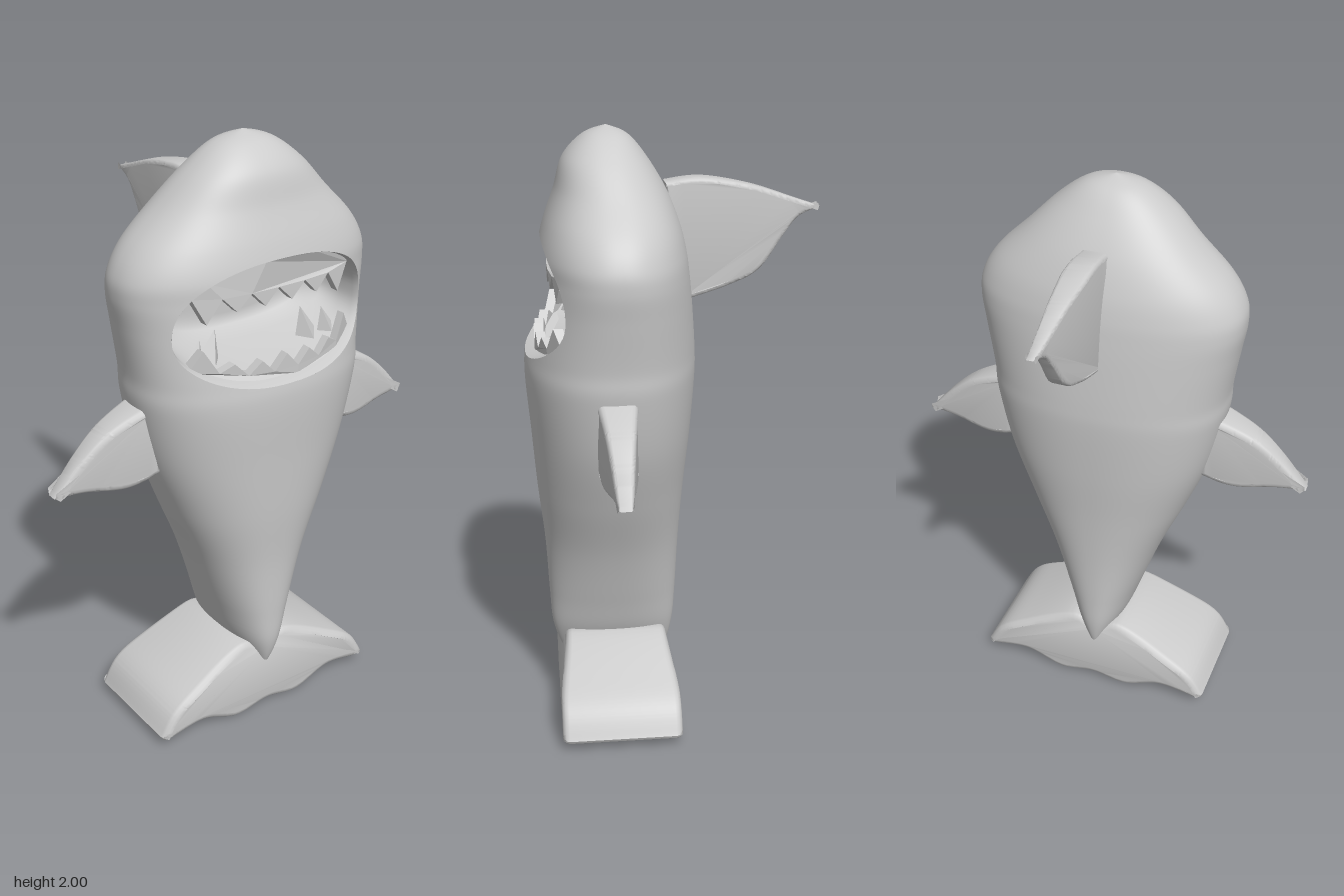
import * as THREE from 'three';
import { toCreasedNormals } from 'three/addons/utils/BufferGeometryUtils.js';

const material = new THREE.MeshStandardMaterial({ color: 0xcccccc, side: THREE.DoubleSide });

// Body sections from tail to snout: y, half width, front z, back z
const SECTIONS = [
  [0.15, 0.0, 0.34, 0.05], [0.17, 0.03, 0.38, 0.02], [0.27, 0.085, 0.415, -0.005], [0.4, 0.13, 0.425, -0.015],
  [0.6, 0.2, 0.435, -0.025], [0.8, 0.285, 0.455, -0.04], [1.0, 0.36, 0.47, -0.06],
  [1.2, 0.405, 0.485, -0.075], [1.3, 0.412, 0.478, -0.075], [1.45, 0.435, 0.45, -0.065],
  [1.55, 0.45, 0.435, -0.055], [1.62, 0.442, 0.43, -0.045], [1.7, 0.395, 0.41, -0.025],
  [1.8, 0.295, 0.375, 0.015], [1.9, 0.195, 0.345, 0.075], [1.97, 0.1, 0.28, 0.135], [2.0, 0.0, 0.205, 0.205],
];
const POWER = 2.25;
const spow = (v, p) => Math.sign(v) * Math.abs(v) ** p;

// Smooth section at t in 0..1
function section(t) {
  const last = SECTIONS.length - 1;
  const i = Math.min(Math.floor(t * last), last - 1), f = t * last - i;
  const at = (k) => SECTIONS[Math.max(0, Math.min(last, k))];
  return at(i).map((b, k) => {
    const a = at(i - 1)[k], c = at(i + 1)[k], d = at(i + 2)[k];
    return b + 0.5 * f * (c - a + f * (2 * a - 5 * b + 4 * c - d + f * (3 * (b - c) + d - a)));
  });
}

// z of the front skin at x, y
function frontZ(x, y) {
  let lo = 0, hi = 1;
  for (let k = 0; k < 30; k++) {
    const mid = (lo + hi) / 2;
    if (section(mid)[0] < y) lo = mid; else hi = mid;
  }
  const [, hx, zf, zb] = section(lo);
  const r = Math.min(1, Math.abs(x) / Math.max(hx, 1e-6));
  return (zf + zb) / 2 + ((zf - zb) / 2) * (1 - r ** POWER) ** (1 / POWER);
}

// Mouth outline, a rounded oval with a higher upper half
const MOUTH = { y: 1.45, w: 0.358, up: 0.207, down: 0.175, n: 2.3 };
const mouthRadius = (x, y) => {
  const dy = y - MOUTH.y, h = dy > 0 ? MOUTH.up : MOUTH.down;
  return (Math.abs(x / MOUTH.w) ** MOUTH.n + Math.abs(dy / h) ** MOUTH.n) ** (1 / MOUTH.n);
};

function indexed(positions, index) {
  const geo = new THREE.BufferGeometry();
  geo.setAttribute('position', new THREE.Float32BufferAttribute(positions, 3));
  geo.setIndex(index);
  geo.computeVertexNormals();
  return geo;
}

// Lofted skin with the mouth cut out
function bodyGeometry() {
  const around = 160, rows = 144, pos = [], index = [], inside = [];
  for (let j = 0; j <= rows; j++) {
    const [y, hx, zf, zb] = section(j / rows);
    for (let i = 0; i < around; i++) {
      const u = (i / around) * Math.PI * 2;
      const x = hx * spow(Math.sin(u), 2 / POWER);
      const z = (zf + zb) / 2 + ((zf - zb) / 2) * spow(Math.cos(u), 2 / POWER);
      pos.push(x, y, z);
      inside.push(Math.cos(u) > 0 && mouthRadius(x, y) < 1);
    }
  }
  const addTriangle = (...t) => { if (!t.every((v) => inside[v])) index.push(...t); };
  for (let j = 0; j < rows; j++) {
    for (let i = 0; i < around; i++) {
      const a = j * around + i, b = j * around + ((i + 1) % around);
      addTriangle(a, b, b + around);
      addTriangle(a, b + around, a + around);
    }
  }
  // Pull the rim of the hole onto the mouth outline
  for (const v of new Set(index)) {
    if (!inside[v]) continue;
    const s = 1 / mouthRadius(pos[3 * v], pos[3 * v + 1]);
    const x = pos[3 * v] * s, y = MOUTH.y + (pos[3 * v + 1] - MOUTH.y) * s;
    pos.splice(3 * v, 3, x, y, frontZ(x, y));
  }
  return indexed(pos, index);
}

// Mouth lining: rings from the lip in to the throat [scale, depth share]
function mouthGeometry() {
  const rings = [[1, 0], [0.975, 0.1], [0.96, 0.4], [0.92, 0.8], [0.8, 1], [0.4, 1], [0, 1]];
  const n = 96, pos = [], index = [];
  rings.forEach(([s, depth], j) => {
    for (let i = 0; i < n; i++) {
      const a = (i / n) * Math.PI * 2;
      const x = MOUTH.w * spow(Math.cos(a), 2 / MOUTH.n);
      const dy = (Math.sin(a) > 0 ? MOUTH.up : MOUTH.down) * spow(Math.sin(a), 2 / MOUTH.n);
      const lift = dy < 0 ? 1 - 0.4 * depth : 1; // floor rises toward the throat
      pos.push(x * s, MOUTH.y + dy * s * lift, THREE.MathUtils.lerp(frontZ(x, MOUTH.y + dy), 0.17, depth));
      if (j) {
        const k = (i + 1) % n, p = (j - 1) * n, q = j * n;
        index.push(p + i, p + k, q + k, p + i, q + k, q + i);
      }
    }
  });
  return indexed(pos, index);
}

// Rounded slab from two curved edges, its thickness scaled by a rule
function slab(edgeA, edgeB, half, bevel, scaleAt) {
  const v = (p) => new THREE.Vector2(...p);
  const shape = new THREE.Shape().moveTo(...edgeA[0]);
  shape.splineThru(edgeA.slice(1).map(v));
  shape.splineThru(edgeB.map(v));
  const geo = new THREE.ExtrudeGeometry(shape, {
    depth: 2 * (half - bevel), bevelThickness: bevel, bevelSize: bevel, bevelOffset: -bevel,
    bevelSegments: 3, curveSegments: 16,
  });
  geo.translate(0, 0, bevel - half);
  const p = geo.attributes.position;
  for (let i = 0; i < p.count; i++) p.setZ(i, p.getZ(i) * scaleAt(p.getX(i), p.getY(i)));
  return toCreasedNormals(geo, 0.7);
}

// Zigzag row of teeth bent along the front skin
function teethGeometry(points, baseY, inset) {
  const half = points.filter(([x]) => x > 0);
  const all = [...half.slice().reverse().map(([x, y]) => [-x, y]), ...points];
  const base = all.map(([x]) => [x, baseY(x)]).reverse();
  const shape = new THREE.Shape([...all, ...base].map((p) => new THREE.Vector2(...p)));
  const geo = new THREE.ExtrudeGeometry(shape, { depth: 0.03, bevelEnabled: false });
  const p = geo.attributes.position;
  for (let i = 0; i < p.count; i++) {
    const x = p.getX(i);
    p.setZ(i, p.getZ(i) + frontZ(x, baseY(x)) - inset);
  }
  geo.computeVertexNormals();
  return geo;
}

export function createModel() {
  const group = new THREE.Group();
  const add = (name, geo) => {
    const mesh = new THREE.Mesh(geo, material);
    mesh.name = name;
    group.add(mesh);
    return mesh;
  };

  add('body', bodyGeometry());
  add('mouth', mouthGeometry());

  // Teeth
  add('upperTeeth', teethGeometry(
    [[0, 1.56], [0.05, 1.51], [0.1, 1.56], [0.15, 1.51], [0.2, 1.56], [0.25, 1.485], [0.295, 1.57]],
    (x) => 1.652 - 0.6 * x * x, 0.05));
  add('lowerTeeth', teethGeometry(
    [[0, 1.36], [0.045, 1.31], [0.09, 1.355], [0.135, 1.315], [0.18, 1.36], [0.225, 1.335], [0.27, 1.41], [0.31, 1.35]],
    (x) => 1.282 + 0.6 * x * x, 0.06));
  for (const side of [1, -1]) {
    [[0.18, 1.37, 0.3], [0.25, 1.36, 0.32]].forEach(([x, y, z]) => {
      const tooth = add('backTooth', new THREE.ConeGeometry(0.05, 0.12, 4).toNonIndexed());
      tooth.geometry.computeVertexNormals();
      tooth.position.set(side * x, y, z);
      tooth.rotation.z = side * 0.25;
    });
  }

  // Side fins
  for (const side of [1, -1]) {
    const geo = slab(
      [[0.34, 1.21], [0.41, 1.195], [0.52, 1.145], [0.61, 1.07], [0.7, 0.97]],
      [[0.6, 0.965], [0.46, 0.942], [0.34, 0.965]], 0.062, 0.02,
      (x) => THREE.MathUtils.clamp(1 - (x - 0.4) * 2.1, 0.4, 1));
    const fin = add(side > 0 ? 'leftFin' : 'rightFin', geo);
    if (side < 0) geo.rotateY(Math.PI);
    fin.position.z = 0.202;
  }

  // Back fin
  const backFin = slab(
    [[-0.02, 1.82], [0.1, 1.832], [0.26, 1.805], [0.4, 1.76], [0.49, 1.73]],
    [[0.42, 1.7], [0.37, 1.64], [0.29, 1.53], [0.19, 1.48], [0.03, 1.43]], 0.045, 0.014,
    (x) => THREE.MathUtils.clamp(1 - (x - 0.15) * 2, 0.32, 1));
  add('backFin', backFin.rotateY(Math.PI / 2));

  // Tail fluke
  const fluke = slab(
    [[-0.435, 0.045], [-0.385, 0.125], [-0.29, 0.185], [-0.1, 0.268], [0, 0.25], [0.1, 0.268], [0.29, 0.185], [0.385, 0.125], [0.435, 0.045]],
    [[0.41, 0.03], [0.27, 0.048], [0.13, 0.002], [0, 0.02], [-0.13, 0.002], [-0.27, 0.048], [-0.41, 0.03], [-0.435, 0.045]],
    0.2, 0.022, (x, y) => 1 - 0.14 * THREE.MathUtils.smoothstep(y, 0.13, 0.28));
  add('tailFluke', fluke).position.z = 0.2;

  return group;
}
